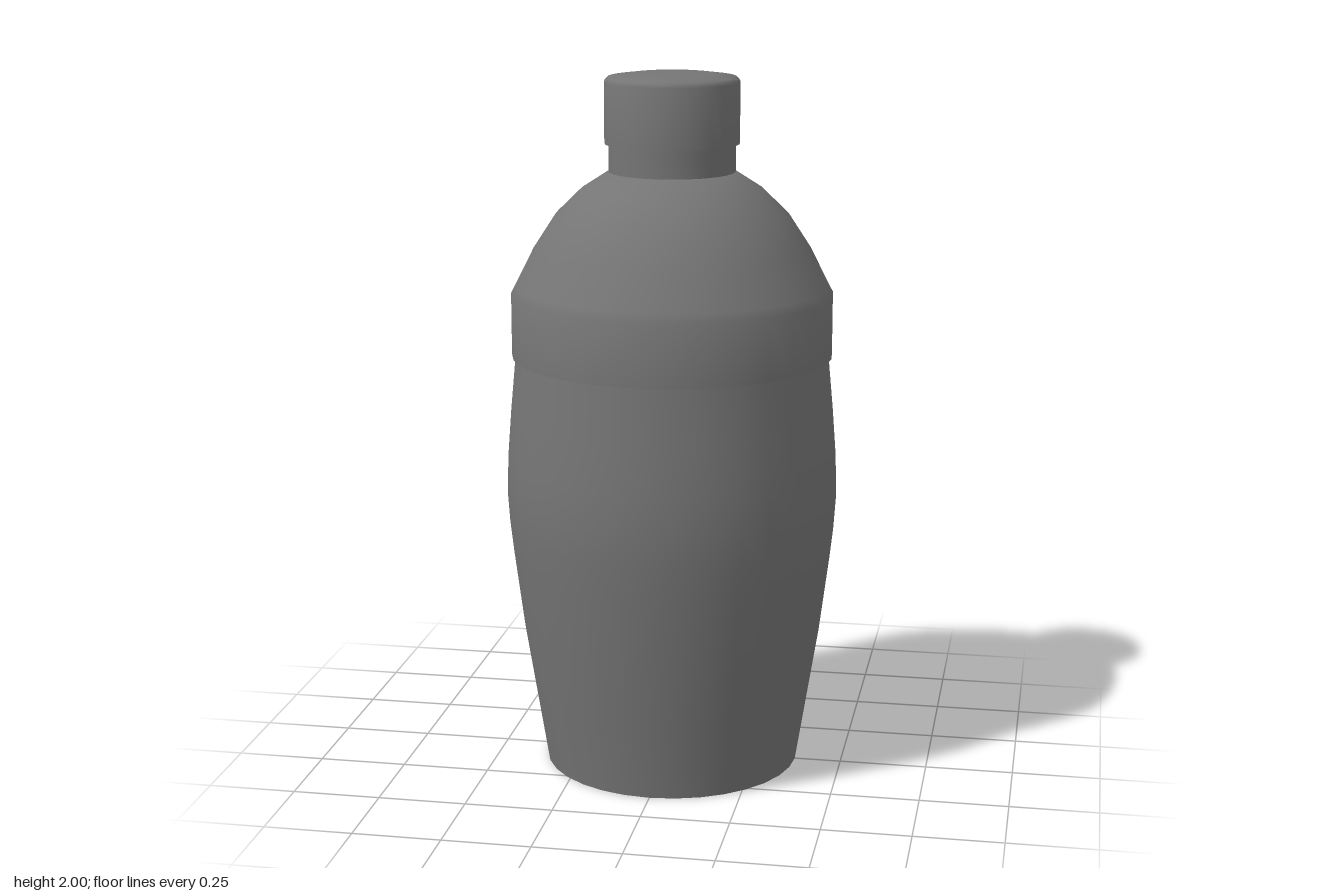
import * as THREE from 'three';
import { toCreasedNormals } from 'three/addons/utils/BufferGeometryUtils.js';

const SEGMENTS = 32;

export function createModel() {
  const shaker = new THREE.Group();
  shaker.name = 'cocktailShaker';
  const material = new THREE.MeshStandardMaterial({ color: 0x757575 });

  // Turns a profile of [radius, height] pairs, listed from bottom to top
  const turned = (name, profile) => {
    const points = profile.map(([r, y]) => new THREE.Vector2(r, y));
    const geometry = toCreasedNormals(new THREE.LatheGeometry(points, SEGMENTS), 0.75);
    const mesh = new THREE.Mesh(geometry, material);
    mesh.name = name;
    shaker.add(mesh);
  };

  // Bulging cup with a flat base
  turned('cup', [
    [0, 0], [0.366, 0], [0.398, 0.2], [0.43, 0.4], [0.458, 0.62], [0.468, 0.71],
    [0.474, 0.8], [0.47, 0.91], [0.46, 1.04], [0.444, 1.21],
  ]);

  // Domed lid with a straight collar overlapping the cup
  turned('lid', [
    [0.43, 1.203], [0.455, 1.203], [0.455, 1.38], [0.442, 1.405], [0.389, 1.51],
    [0.327, 1.605], [0.257, 1.673], [0.178, 1.724], [0, 1.724],
  ]);

  // Strainer neck
  turned('neck', [[0.178, 1.72], [0.178, 1.805]]);

  // Cap with a rounded rim and slightly crowned top
  turned('cap', [
    [0.17, 1.802], [0.189, 1.802], [0.189, 1.972], [0.186, 1.98], [0.18, 1.986],
    [0.12, 1.994], [0.06, 1.998], [0, 2],
  ]);

  return shaker;
}
